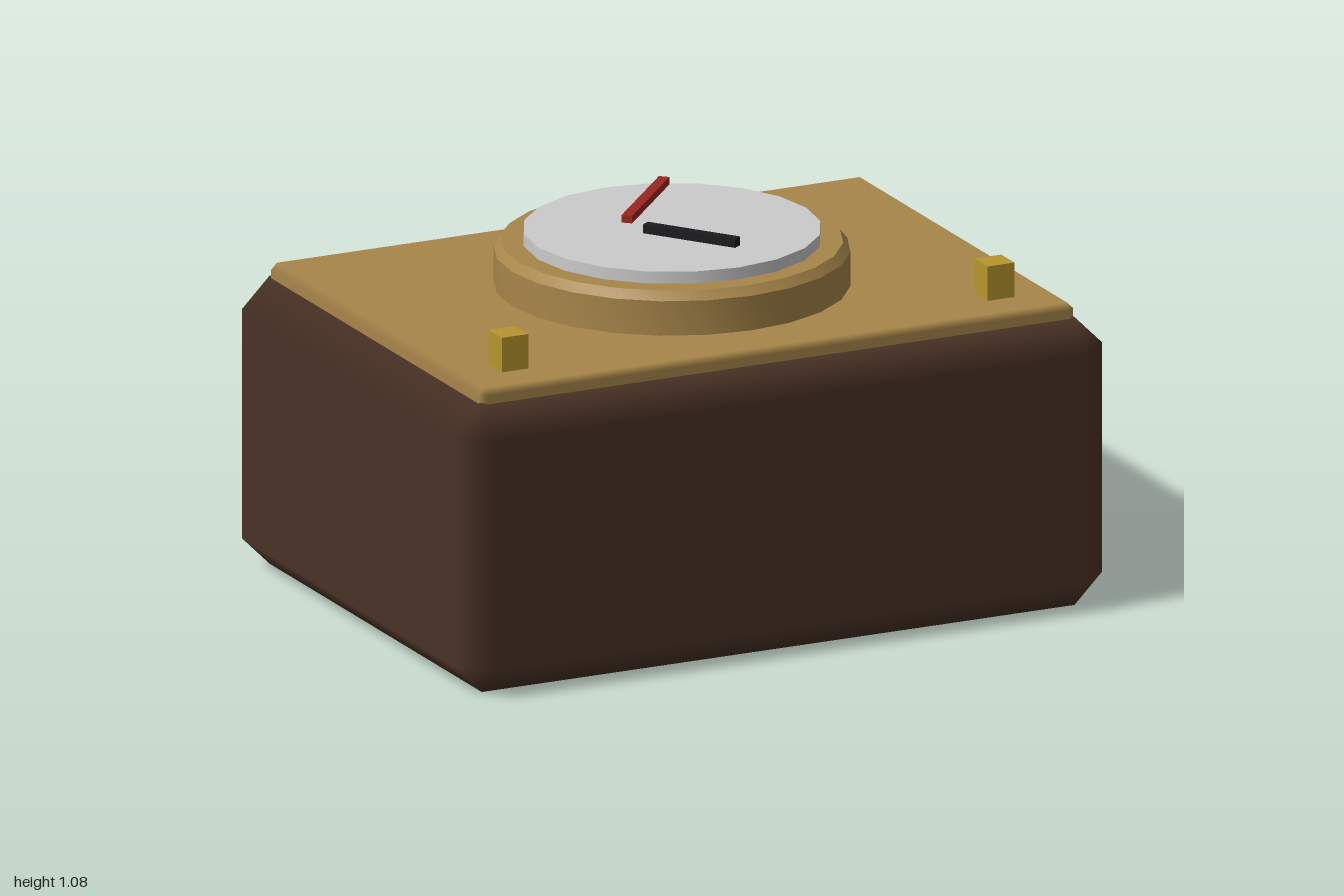
import * as THREE from 'three';
import { toCreasedNormals } from 'three/addons/utils/BufferGeometryUtils.js';

const mat = (color) => new THREE.MeshStandardMaterial({ color });

// Box with one flat chamfer on every edge; each corner has one vertex per adjoining face,
// and keeps that face's normal so the chamfers shade softly.
function chamferBox(w, h, d, bevel) {
  const half = [w / 2, h / 2, d / 2];
  const pos = [], nor = [], index = [];
  const signs = (c) => [c & 1 ? 1 : -1, c & 2 ? 1 : -1, c & 4 ? 1 : -1];
  for (let c = 0; c < 8; c++) {
    const s = signs(c);
    for (let axis = 0; axis < 3; axis++) {
      for (let k = 0; k < 3; k++) {
        pos.push(s[k] * (half[k] - (k === axis ? 0 : bevel)));
        nor.push(k === axis ? s[k] : 0);
      }
    }
  }
  const at = (i) => new THREE.Vector3().fromArray(pos, i * 3);
  // Triangle turned to face away from the centre
  const tri = (a, b, c) => {
    const n = at(b).sub(at(a)).cross(at(c).sub(at(a)));
    if (n.dot(at(a)) < 0) index.push(a, c, b);
    else index.push(a, b, c);
  };
  const quad = (a, b, c, e) => { tri(a, b, c); tri(a, c, e); };
  for (let axis = 0; axis < 3; axis++) {
    const u = 1 << ((axis + 1) % 3), v = 1 << ((axis + 2) % 3), m = 1 << axis;
    // two flat faces across this axis
    for (const c of [0, m]) {
      quad(c * 3 + axis, (c + u) * 3 + axis, (c + u + v) * 3 + axis, (c + v) * 3 + axis);
    }
    // four chamfers running along this axis
    const p = (axis + 1) % 3, q = (axis + 2) % 3;
    for (const c of [0, u, v, u + v]) {
      quad(c * 3 + p, (c + m) * 3 + p, (c + m) * 3 + q, c * 3 + q);
    }
  }
  for (let c = 0; c < 8; c++) tri(c * 3, c * 3 + 1, c * 3 + 2);
  const geo = new THREE.BufferGeometry();
  geo.setAttribute('position', new THREE.Float32BufferAttribute(pos, 3));
  geo.setAttribute('normal', new THREE.Float32BufferAttribute(nor, 3));
  geo.setIndex(index);
  return geo;
}

export function createModel() {
  const group = new THREE.Group();
  const wood = mat(0x4a3226), brass = mat(0xa8864a), gold = mat(0xb8962e);
  const add = (name, geo, material, x, y, z) => {
    const mesh = new THREE.Mesh(geo, material);
    mesh.name = name;
    mesh.position.set(x, y, z);
    group.add(mesh);
    return mesh;
  };

  // Wooden case and brass top plate
  add('case', chamferBox(2, 0.835, 1.5, 0.085), wood, 0, 0.4175, 0);
  add('topPlate', chamferBox(1.835, 0.08, 1.335, 0.018), brass, 0, 0.835, 0);

  // Round bezel with a chamfered rim
  const profile = [[0, 0], [0.495, 0], [0.495, 0.105], [0.475, 0.13], [0, 0.13]]
    .map(([r, y]) => new THREE.Vector2(r, y));
  add('bezel', toCreasedNormals(new THREE.LatheGeometry(profile, 24), 0.5), brass, 0, 0.87, 0);

  // Dial
  add('dial', new THREE.CylinderGeometry(0.415, 0.415, 0.04, 20), mat(0xc8c9cc), 0, 1.015, 0);

  // Hands
  const hourHand = add('hourHand', new THREE.BoxGeometry(0.29, 0.025, 0.03), mat(0x1c1c20), -0.003, 1.05, 0.128);
  hourHand.rotation.y = -0.95;
  const minuteHand = add('minuteHand', new THREE.BoxGeometry(0.376, 0.022, 0.03), mat(0x9c2622), 0, 1.069, -0.166);
  minuteHand.rotation.y = 0.835;

  // Front pegs
  for (const [name, side] of [['leftPeg', 1], ['rightPeg', -1]]) {
    add(name, new THREE.BoxGeometry(0.083, 0.105, 0.083), gold, side * 0.75, 0.9225, 0.498);
  }
  return group;
}
